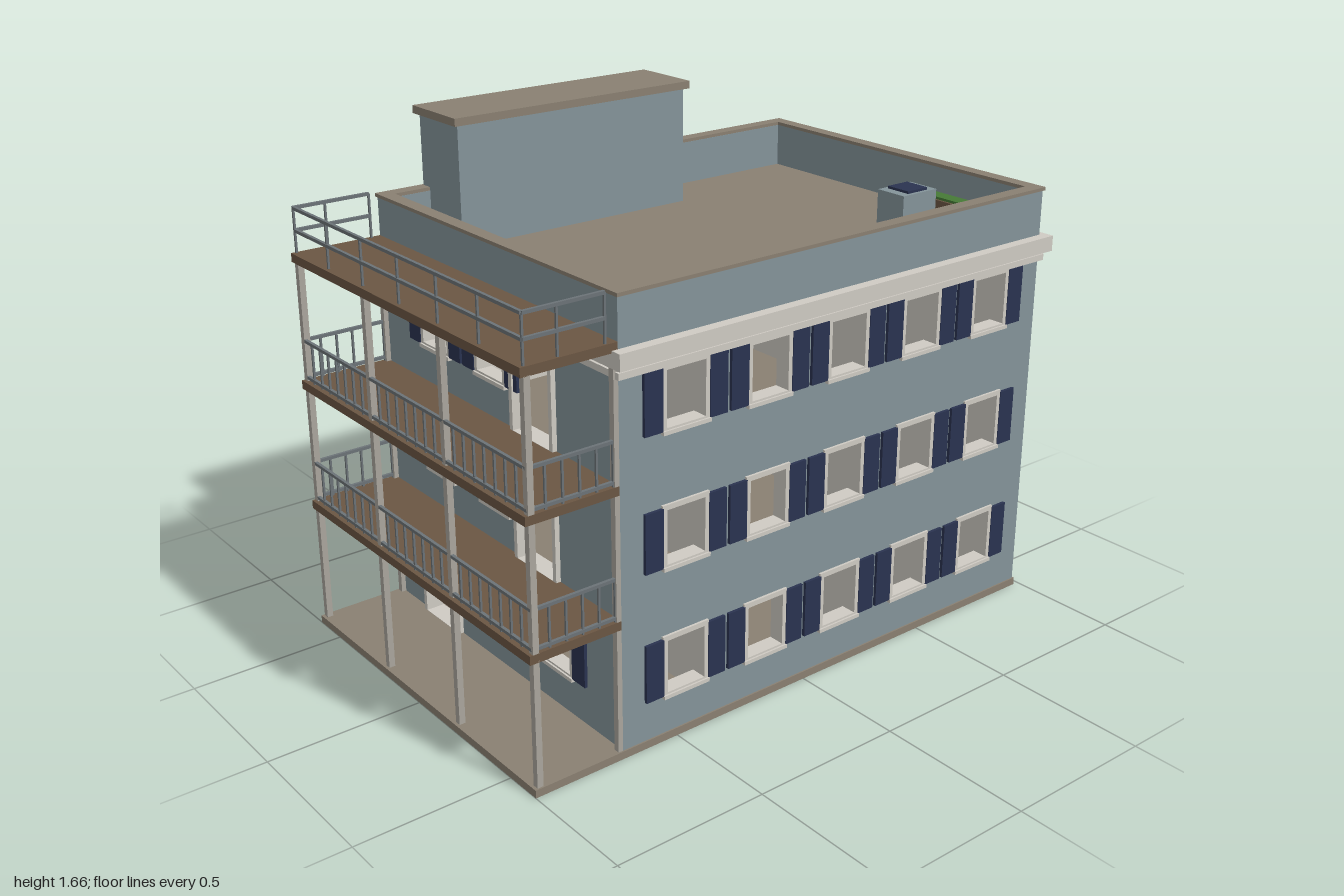
import * as THREE from 'three';

const mat = (name, color) => {
  const m = new THREE.MeshStandardMaterial({ color });
  m.name = name;
  return m;
};

export function createModel() {
  const wallBlue = mat('wall blue', 0x84949a);
  const trim = mat('pale trim', 0xcfcbc3);
  const stone = mat('taupe stone', 0x8a8072);
  const navy = mat('shutter navy', 0x2a3350);
  const wood = mat('deck brown', 0x6b5643);
  const metal = mat('railing grey', 0x6c7377);
  const post = mat('post grey', 0xaaa69d);
  const green = mat('plant green', 0x467a36);

  const root = new THREE.Group();
  root.name = 'apartmentHouse';

  const group = (name, parent = root) => {
    const g = new THREE.Group();
    g.name = name;
    parent.add(g);
    return g;
  };
  // Box given by its extents on each axis
  const box = (parent, name, m, x0, x1, y0, y1, z0, z1) => {
    const mesh = new THREE.Mesh(new THREE.BoxGeometry(x1 - x0, y1 - y0, z1 - z0), m);
    mesh.position.set((x0 + x1) / 2, (y0 + y1) / 2, (z0 + z1) / 2);
    mesh.name = name;
    parent.add(mesh);
    return mesh;
  };
  const rect = (Type, x0, x1, y0, y1) => {
    const s = new Type();
    s.moveTo(x0, y0);
    s.lineTo(x1, y0);
    s.lineTo(x1, y1);
    s.lineTo(x0, y1);
    s.closePath();
    return s;
  };
  // Rectangular plate with rectangular holes, from z0 to z0 + depth
  const plate = (parent, name, m, outer, holes, z0, depth) => {
    const s = rect(THREE.Shape, ...outer);
    holes.forEach(h => s.holes.push(rect(THREE.Path, ...h)));
    const g = new THREE.ExtrudeGeometry(s, { depth, bevelEnabled: false });
    g.translate(0, 0, z0);
    const mesh = new THREE.Mesh(g, m);
    mesh.name = name;
    parent.add(mesh);
    return mesh;
  };
  // Horizontal rectangular ring
  const ring = (name, m, x, zBack, zFront, y0, y1, w) => {
    const mesh = plate(root, name, m, [-x, x, -zFront, -zBack],
      [[-x + w, x - w, -zFront + w, -zBack - w]], 0, y1 - y0);
    mesh.rotation.x = -Math.PI / 2;
    mesh.position.y = y0;
  };

  const X = 0.62, BACK = -0.975, FRONT = 0.695, T = 0.04, BASE = 0.025, ROOF = 1.25;
  const MID = (BACK + FRONT) / 2, STEP = 0.305;
  const sills = [0.153, 0.565, 0.98];
  const floors = [BASE, 0.445, 0.858];

  // Base, floors and roof
  box(root, 'baseSlab', stone, -0.625, 0.625, 0, BASE, -0.98, 1);
  [0.445, 0.858, ROOF].forEach((y, i) =>
    box(root, i < 2 ? 'floor' : 'roof', stone, -X + T, X - T, y - 0.03, y, BACK + T, FRONT - T));

  // Outer wall: windows are [u, sill], doors are [u, floor]
  const makeWall = (name, width, windows, doors, x, z, angle) => {
    const g = group(name);
    g.position.set(x, 0, z);
    g.rotation.y = angle;
    const winHoles = windows.map(([u, y]) => [u - 0.076, u + 0.076, y, y + 0.185]);
    const doorHoles = doors.map(([u, y]) => [u - 0.1, u + 0.1, y + 0.002, y + 0.325]);
    const holes = [...winHoles, ...doorHoles];
    const w = width / 2;
    plate(g, 'wall', wallBlue, [-w, w, BASE, 1.395], holes, -T, T);
    plate(g, 'plasterLining', trim, [-w + 0.04, w - 0.04, BASE, 1.225], holes, -T - 0.008, 0.008);
    holes.forEach(([x0, x1, y0, y1], i) => {
      const door = i >= winHoles.length;
      const f = 0.008;
      plate(g, door ? 'doorFrame' : 'windowFrame', trim,
        [x0 - f, x1 + f, door ? y0 : y0 - f, y1 + f],
        [[x0 + f, x1 - f, y0 + (door ? 0.001 : f), y1 - f]], -T - 0.004, T + (door ? 0.02 : 0.012));
      if (door) return;
      box(g, 'windowSill', trim, x0 - 0.008, x1 + 0.008, y0 - 0.01, y0 + 0.002, -0.01, 0.014);
      [-1, 1].forEach(s => {
        const c = (x0 + x1) / 2 + s * 0.114;
        box(g, 'shutter', navy, c - 0.032, c + 0.032, y0, y1, 0, 0.01);
      });
    });
  };
  const grid = cols => sills.flatMap(y => cols.map(u => [u, y]));
  const sideWindows = grid([-2, -1, 0, 1, 2].map(i => i * STEP));
  const [g0, g1, g2] = sills;
  makeWall('frontWall', 2 * (X - T),
    [[0, g0], [STEP, g0], [-STEP, g1], [0, g1], [-STEP, g2], [0, g2]],
    [[-0.342, BASE], [0.22, floors[1]], [0.22, floors[2]]], 0, FRONT, 0);
  makeWall('backWall', 2 * (X - T),
    [[0, g0], [-STEP, g0], ...[g1, g2].flatMap(y => [-1, 0, 1].map(i => [i * STEP, y]))],
    [[0.342, BASE]], 0, BACK, Math.PI);
  makeWall('leftWall', FRONT - BACK, sideWindows, [], X, MID, Math.PI / 2);
  makeWall('rightWall', FRONT - BACK, sideWindows, [], -X, MID, -Math.PI / 2);

  // Cornice and parapet cap
  ring('corniceLower', trim, 0.635, -0.985, 0.705, 1.168, 1.188, 0.03);
  ring('cornice', trim, 0.655, -1, 0.715, 1.2, 1.25, 0.05);
  ring('parapetCap', stone, 0.626, -0.98, 0.7, 1.395, 1.406, 0.045);

  // Interior partitions and stairs on each storey
  const inside = group('interior');
  floors.forEach((y, i) => {
    const top = [0.415, 0.828, 1.22][i];
    [[-0.93, -0.51], [-0.395, 0.09], [0.25, 0.65]].forEach(([a, b]) =>
      box(inside, 'corridorWall', trim, -0.2, -0.18, y, top, a, b));
    [-0.6, -0.29, 0.32].forEach(z =>
      box(inside, 'crossWall', trim, -0.18, X - T, y, top, z - 0.01, z + 0.01));
    for (let k = 0; k < 10; k++) {
      const sy = y + k * 0.041, sz = 0.42 - k * 0.042;
      box(inside, 'stairStep', stone, -0.57, -0.435, sy, sy + 0.041, sz - 0.045, sz);
    }
  });

  // Stair house on the roof
  const house = group('stairHouse');
  const hx0 = -X, hx1 = -0.4, hz0 = -0.345, hz1 = 0.53, hTop = 1.635;
  box(house, 'houseWall', wallBlue, hx0, hx0 + 0.02, ROOF, hTop, hz0, hz1);
  box(house, 'houseWall', wallBlue, hx1 - 0.02, hx1, ROOF, hTop, hz0, hz1);
  box(house, 'houseWall', wallBlue, hx0, hx1, ROOF, hTop, hz1 - 0.02, hz1);
  plate(house, 'houseDoorWall', wallBlue, [hx0, hx1, ROOF, hTop],
    [[-0.575, -0.425, ROOF + 0.002, 1.565]], hz0, 0.02);
  plate(house, 'houseDoorFrame', stone, [-0.583, -0.417, ROOF, 1.575],
    [[-0.567, -0.433, ROOF + 0.002, 1.558]], hz0 - 0.01, 0.03);
  box(house, 'houseCap', stone, -0.632, -0.385, hTop, 1.66, -0.36, 0.547);

  // Roof vent and planter
  box(root, 'roofVent', wallBlue, 0.3, 0.412, ROOF, 1.4, -0.712, -0.567);
  box(root, 'ventGrille', navy, 0.313, 0.4, 1.4, 1.408, -0.683, -0.598);
  box(root, 'planter', wood, 0.137, 0.537, ROOF, 1.325, -0.885, -0.82);
  box(root, 'planterGreenery', green, 0.146, 0.528, 1.325, 1.333, -0.877, -0.828);

  // Balconies: decks, posts and railings
  const balcony = group('balconies');
  [0.418, 0.83, 1.243].forEach(y =>
    box(balcony, 'deck', wood, -X, X, y, y + 0.028, FRONT, 1));
  [-0.61, -0.205, 0.205, 0.61].forEach(x =>
    box(balcony, 'frontPost', post, x - 0.01, x + 0.01, BASE, 1.245, 0.97, 0.99));
  [-0.61, 0.61].forEach(x =>
    box(balcony, 'wallPost', post, x - 0.01, x + 0.01, BASE, 1.245, 0.695, 0.711));

  const railing = (name, y0, rails, r, frontN, sideZ) => {
    const g = group(name, balcony);
    const top = rails[rails.length - 1], b = r * 0.65, zf = 0.985, xs = 0.612;
    rails.forEach(y => {
      box(g, 'frontRail', metal, -xs, xs, y - r, y + r, zf - r, zf + r);
      [-xs, xs].forEach(x =>
        box(g, 'sideRail', metal, x - r, x + r, y - r, y + r, Math.min(...sideZ), zf));
    });
    for (let i = 0; i <= frontN; i++) {
      const x = -xs + (2 * xs * i) / frontN;
      box(g, 'baluster', metal, x - b, x + b, y0, top, zf - b, zf + b);
    }
    sideZ.forEach(z => [-xs, xs].forEach(x =>
      box(g, 'baluster', metal, x - b, x + b, y0, top, z - b, z + b)));
  };
  const sideBars = [0.71, 0.765, 0.82, 0.875, 0.93];
  railing('lowerRailing', 0.446, [0.458, 0.578], 0.005, 24, sideBars);
  railing('middleRailing', 0.858, [0.87, 0.99], 0.005, 24, sideBars);
  railing('upperRailing', 1.271, [1.342, 1.412], 0.005, 6, [0.73, 0.88]);

  return root;
}
